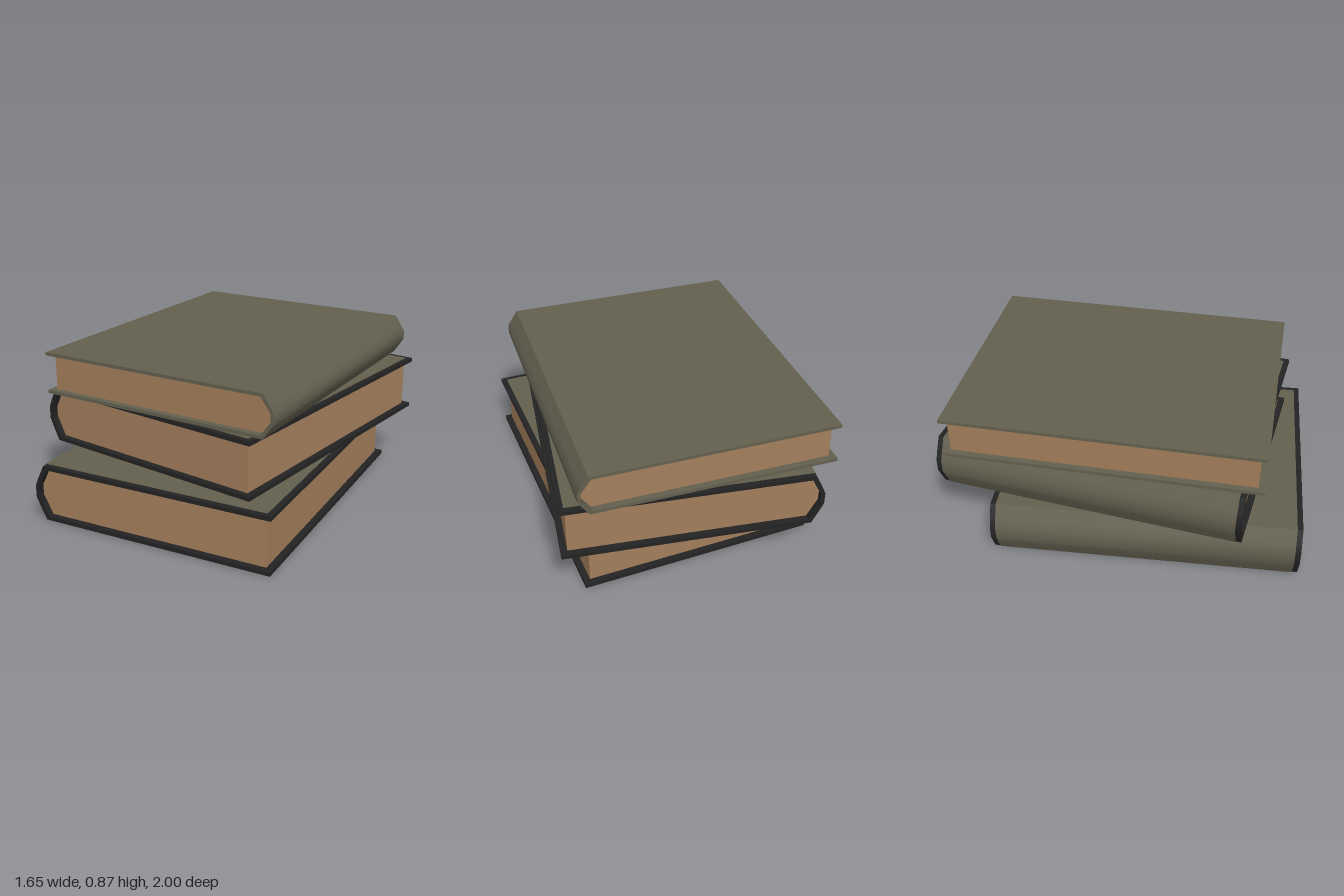
import * as THREE from 'three';
import { toCreasedNormals } from 'three/addons/utils/BufferGeometryUtils.js';

const WIDTH = 1.38, DEPTH = 1.69, RIM = 0.035, SKIN = 0.003;

const material = (name, color) => {
  const m = new THREE.MeshStandardMaterial({ color });
  m.name = name;
  return m;
};

// Rounded-spine outline, inset by d, running from the top fore edge round the spine to the bottom
function outline(h, d, foreEdge) {
  const half = h / 2 - d;
  const top = [
    [foreEdge, half],
    [-0.63 + d * 0.75, half],
    [-0.667 + d, half * 0.54],
    [-WIDTH / 2 + d, half * 0.22],
  ];
  const bottom = top.map(([x, y]) => [x, -y]).reverse();
  return [...top, ...bottom].map(([x, y]) => new THREE.Vector2(x, y));
}

// Extrude an outline along z, centred, with a smooth spine and sharp edges
function extrude(name, points, depth, mat) {
  const geometry = new THREE.ExtrudeGeometry(new THREE.Shape(points), { depth, bevelEnabled: false });
  geometry.translate(0, 0, -depth / 2);
  const mesh = new THREE.Mesh(toCreasedNormals(geometry, 0.9), mat);
  mesh.name = name;
  return mesh;
}

// C-shaped sleeve between two insets
const sleeve = (name, h, outer, inner, foreEdge, depth, mat) =>
  extrude(name, [...outline(h, outer, foreEdge), ...outline(h, inner, foreEdge).reverse()], depth, mat);

function makeBook({ name, h, thickness, cover, wrap, pages, position, turn }) {
  const book = new THREE.Group();
  book.name = name;
  const edge = WIDTH / 2;
  book.add(sleeve('cover', h, wrap ? SKIN : 0, thickness, edge, DEPTH, cover));
  book.add(extrude('pages', outline(h, thickness - 0.002, edge - RIM), DEPTH - 2 * RIM, pages));
  // Thin outer cloth, leaving a rim of the cover showing
  if (wrap) book.add(sleeve('coverCloth', h, 0, SKIN + 0.001, edge - 0.03, DEPTH - 0.06, wrap));
  book.position.set(...position);
  book.rotation.y = turn;
  return book;
}

export function createModel() {
  const olive = material('olive cloth', 0x63604f);
  const dark = material('dark binding', 0x232323);
  const paper = material('aged paper', 0xa37e5b);

  const stack = new THREE.Group();
  stack.name = 'bookStack';
  stack.add(
    makeBook({
      name: 'bottomBook', h: 0.32, thickness: 0.025, cover: dark, wrap: olive, pages: paper,
      position: [0, 0.16, 0.155], turn: 0,
    }),
    makeBook({
      name: 'middleBook', h: 0.315, thickness: 0.025, cover: dark, wrap: olive, pages: paper,
      position: [0, 0.4775, -0.045], turn: -0.175,
    }),
    // Top book has its spine on the other side
    makeBook({
      name: 'topBook', h: 0.23, thickness: 0.018, cover: olive, wrap: null, pages: paper,
      position: [0.002, 0.75, -0.028], turn: Math.PI - 0.065,
    }),
  );
  return stack;
}
